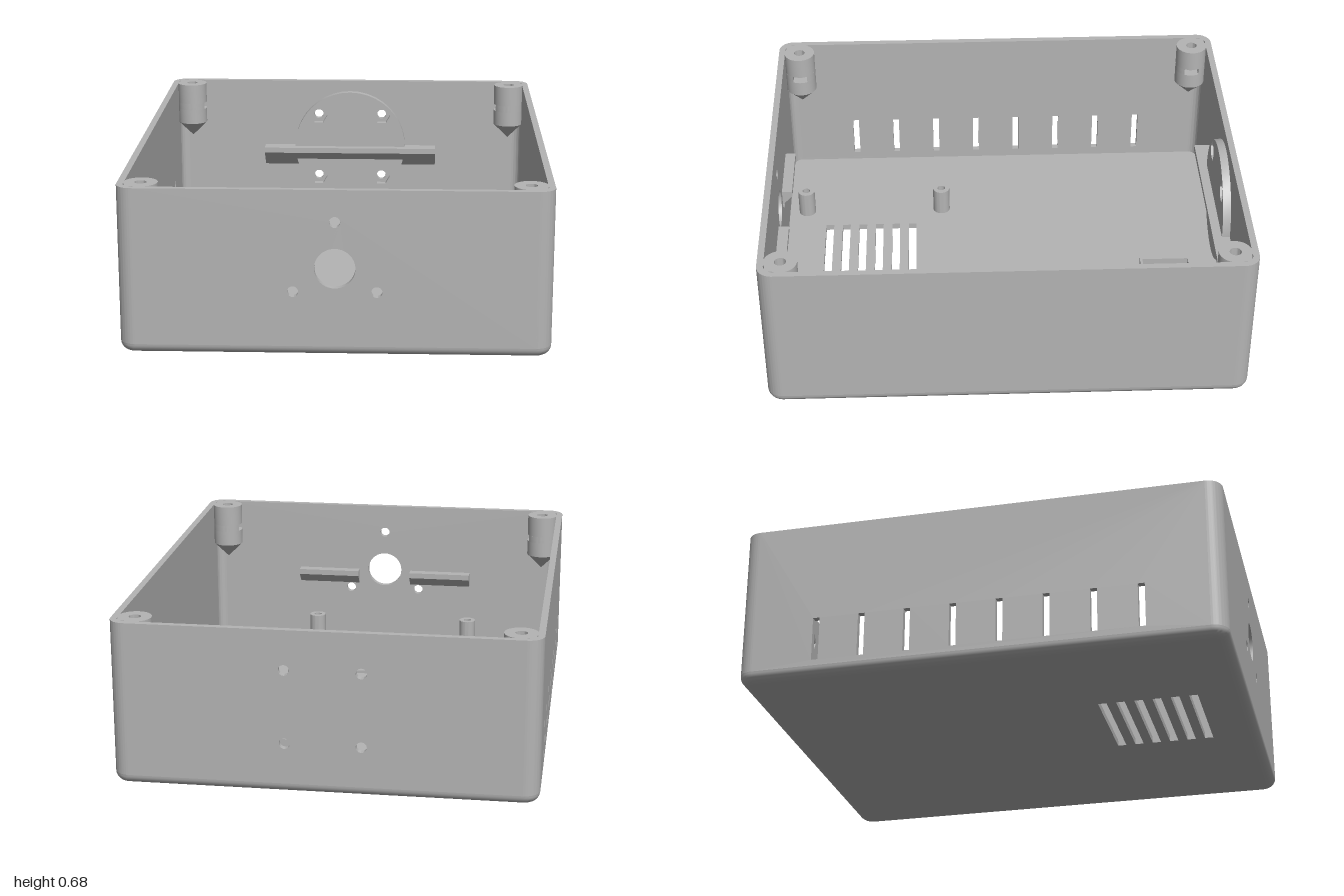
import * as THREE from 'three';
import { toCreasedNormals } from 'three/addons/utils/BufferGeometryUtils.js';

const X = 0.855, Z = 1, H = 0.68;      // half width, half depth, height
const T = 0.027, R = 0.065, F = 0.04;  // wall, corner radius, bottom fillet
const AXIS = 0.362;                    // height of the main opening

const gray = new THREE.MeshStandardMaterial({ color: 0xb4b4b4 });
gray.name = 'gray plastic';

// ---- shape helpers ----
const rect = (x0, y0, x1, y1, C = THREE.Shape) => new C([
  new THREE.Vector2(x0, y0), new THREE.Vector2(x1, y0), new THREE.Vector2(x1, y1), new THREE.Vector2(x0, y1)]);
const circle = (x, y, r, C = THREE.Path) => {
  const c = new C();
  c.absarc(x, y, r, 0, Math.PI * 2, false);
  return c;
};
const hexagon = (x, y, r) => new THREE.Path(Array.from({ length: 6 }, (_, i) =>
  new THREE.Vector2(x + r * Math.cos(i * Math.PI / 3), y + r * Math.sin(i * Math.PI / 3))));

function extrude(shape, depth, holes = []) {
  shape.holes.push(...holes);
  return toCreasedNormals(new THREE.ExtrudeGeometry(shape, { depth, bevelEnabled: false, curveSegments: 20 }), 0.6);
}
// extruded upwards from the ground plane; shape y becomes -z
const upright = (shape, height, holes) => extrude(shape, height, holes).rotateX(-Math.PI / 2);

// rounded rectangle outline at a given inset from the outer wall
function outline(inset) {
  const pts = [], n = 10, r = R - inset;
  [[1, 1], [-1, 1], [-1, -1], [1, -1]].forEach(([sx, sz], k) => {
    for (let j = 0; j <= n; j++) {
      const a = (k + j / n) * Math.PI / 2;
      pts.push(new THREE.Vector2(sx * (X - R) + r * Math.cos(a), sz * (Z - R) + r * Math.sin(a)));
    }
  });
  return pts;
}

// sweep a profile of [inset, y] pairs round the outline
function skirt(profile) {
  const pos = [], idx = [];
  let n = 0;
  profile.forEach(([inset, y], i) => {
    const ring = outline(inset);
    n = ring.length;
    ring.forEach((p, j) => {
      pos.push(p.x, y, p.y);
      if (i < profile.length - 1) {
        const a = i * n + j, b = i * n + (j + 1) % n;
        idx.push(a, a + n, b, b, a + n, b + n);
      }
    });
  });
  const g = new THREE.BufferGeometry();
  g.setAttribute('position', new THREE.Float32BufferAttribute(pos, 3));
  g.setIndex(idx);
  return toCreasedNormals(g, 0.6);
}

export function createModel() {
  const model = new THREE.Group();
  model.name = 'enclosureBase';
  const add = (name, geo, x = 0, y = 0, z = 0, ry = 0, parent = model) => {
    const m = new THREE.Mesh(geo, gray);
    m.name = name;
    m.position.set(x, y, z);
    m.rotation.y = ry;
    parent.add(m);
    return m;
  };

  // floor with ventilation slots
  const floorSlots = [];
  for (let i = 0; i < 6; i++) {
    const z = 0.402 + i * 0.0762;
    floorSlots.push(rect(-0.305, -z - 0.018, 0.155, -z + 0.018, THREE.Path));
  }
  add('floor', upright(new THREE.Shape(outline(F)), T, floorSlots));

  // rounded bottom edge
  const profile = [];
  for (let i = 0; i <= 8; i++) {
    const q = i / 8 * Math.PI / 2;
    profile.push([F * (1 - Math.sin(q)), F * (1 - Math.cos(q))]);
  }
  profile.push([T, F], [T, T], [F, T]);
  add('bottomEdge', skirt(profile));

  // flat walls
  const wx = X - R, wz = Z - R;
  const mountHoles = [[-1, -1], [1, -1], [1, 1], [-1, 1]].map(([a, b]) => [a * 0.153, AXIS + b * 0.153]);
  add('frontWall', extrude(rect(-wx, F, wx, H), T, [
    circle(0, AXIS, 0.081), circle(0, 0.55, 0.022), circle(-0.165, 0.266, 0.022), circle(0.165, 0.266, 0.022),
  ]), 0, 0, Z - T);
  add('backWall', extrude(rect(-wx, F, wx, H), T, mountHoles.map(([x, y]) => circle(x, y, 0.022))), 0, 0, -Z);
  const sideSlots = [];
  for (let i = 0; i < 8; i++) {
    const z = (i - 3.5) * 0.191;
    sideSlots.push(rect(z - 0.014, 0.065, z + 0.014, 0.252, THREE.Path));
  }
  add('slottedSideWall', extrude(rect(-wz, F, wz, H), T, sideSlots), -(X - T), 0, 0, -Math.PI / 2);
  add('plainSideWall', extrude(rect(-wz, F, wz, H), T), X - T, 0, 0, Math.PI / 2);

  // rounded vertical corners
  const quarter = new THREE.Shape();
  quarter.absarc(0, 0, R, 0, Math.PI / 2, false);
  quarter.absarc(0, 0, R - T, Math.PI / 2, 0, true);
  const cornerGeo = upright(quarter, H - F);
  [[1, -1], [-1, -1], [-1, 1], [1, 1]].forEach(([sx, sz], k) =>
    add('wallCorner', cornerGeo, sx * wx, F, sz * wz, k * Math.PI / 2));

  // lid screw posts with a side slot for a nut and a tapered foot
  const pr = 0.068, hole = 0.024, base = 0.49, slot0 = 0.558, slot1 = 0.588;
  const notch = new THREE.Shape(), a = Math.asin(0.032 / pr);
  notch.absarc(0, 0, pr, a, Math.PI * 2 - a, false);
  notch.lineTo(-0.032, -0.032);
  notch.lineTo(-0.032, 0.032);
  const lower = upright(circle(0, 0, pr, THREE.Shape), slot0 - base, [circle(0, 0, hole)]);
  const middle = upright(notch, slot1 - slot0);
  const upper = upright(circle(0, 0, pr, THREE.Shape), H - slot1, [circle(0, 0, hole)]);
  const foot = new THREE.ConeGeometry(pr, pr, 32).rotateX(Math.PI);
  for (const sx of [-1, 1]) for (const sz of [-1, 1]) {
    const post = new THREE.Group();
    post.name = 'screwPost';
    post.position.set(sx * 0.763, 0, sz * 0.907);
    post.rotation.y = sx > 0 ? Math.PI : 0;
    add('postLower', lower, 0, base, 0, 0, post);
    add('postNutSlot', middle, 0, slot0, 0, 0, post);
    add('postUpper', upper, 0, slot1, 0, 0, post);
    add('postFoot', foot, 0, base - pr / 2, 0, 0, post);
    model.add(post);
    add('postWeb', new THREE.BoxGeometry(0.035, H - base, 0.035), sx * 0.806, (H + base) / 2, sz * 0.951);
  }

  // round mounting pad with hexagonal nut pockets
  add('mountingPad', extrude(circle(0, AXIS, 0.267, THREE.Shape), 0.034,
    mountHoles.map(([x, y]) => hexagon(x, y, 0.042))), 0, 0, -Z + T);

  // support rails with a sloping underside
  const rail = (depth, length) => extrude(new THREE.Shape([[0, 0.335 - depth], [depth, 0.335], [depth, 0.36], [0, 0.36]]
    .map(p => new THREE.Vector2(...p))), length);
  add('backRail', rail(0.073, 0.83), 0.415, 0, -Z + T, -Math.PI / 2);
  for (const x of [-0.415, 0.125]) add('frontRail', rail(0.045, 0.29), x, 0, Z - T, Math.PI / 2);

  // circuit board standoffs
  const standoff = (r, h, top) => upright(circle(0, 0, r, THREE.Shape), top - T, [circle(0, 0, h)]);
  const large = standoff(0.038, 0.017, 0.146), small = standoff(0.029, 0.012, 0.08);
  for (const x of [-0.415, 0.32]) for (const z of [0.267, 0.892]) add('largeStandoff', large, x, T, z);
  for (const x of [0.54, 0.685]) for (const z of [-0.695, 0.095 * -1]) add('smallStandoff', small, x, T, z);

  // open trays on the floor
  const tray = (name, x0, z0, x1, z1, w, top) => add(name, upright(rect(x0, -z1, x1, -z0), top - T,
    [rect(x0 + w, -z1 + w, x1 - w, -z0 - w, THREE.Path)]), 0, T, 0);
  tray('middleTray', 0.05, -0.842, 0.325, -0.617, 0.011, 0.08);
  tray('cornerTray', 0.482, -0.97, 0.783, -0.725, 0.021, 0.08);
  add('cornerTrayLedge', upright(rect(0.5, 0.745, 0.765, 0.955), 0.025,
    [rect(0.532, 0.765, 0.728, 0.932, THREE.Path)]), 0, T, 0);

  return model;
}
